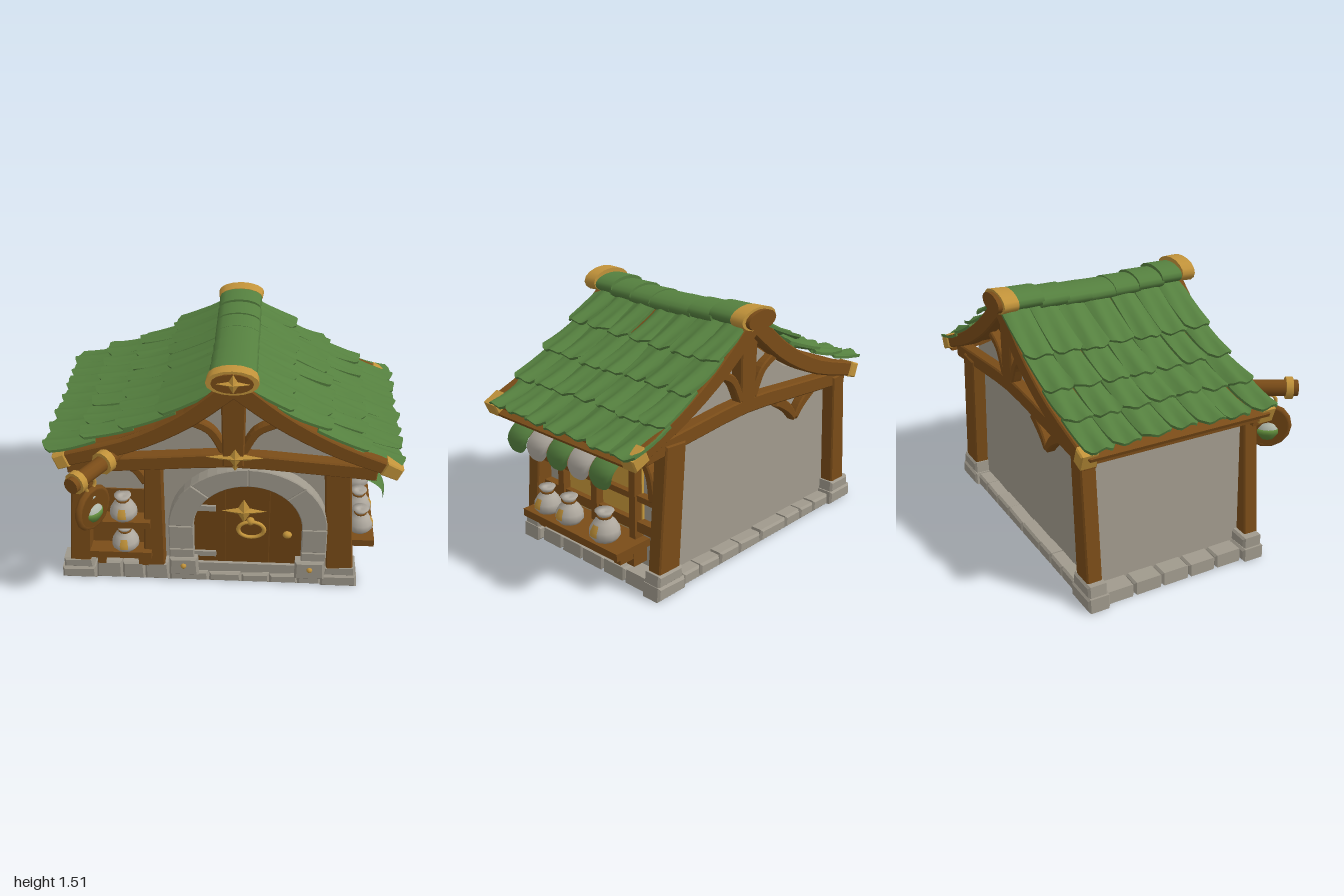
import * as THREE from 'three';

const M = {};
for (const [name, color] of Object.entries({
  wood: 0x7a4c18, doorWood: 0x6f4413, gold: 0xc2933a, leaf: 0x55803f, stone: 0x9f998c,
  plaster: 0xa39c8e, cloth: 0xb0aaa0, windowGlow: 0xc99a3a, potion: 0x5f8a3a, glass: 0xb4bcae,
})) M[name] = Object.assign(new THREE.MeshStandardMaterial({ color }), { name });
M.leaf.side = M.cloth.side = THREE.DoubleSide;

let seed = 7;
const rnd = () => (seed = (seed * 16807) % 2147483647) / 2147483647;
const V2 = (x, y) => new THREE.Vector2(x, y);
const V3 = (x, y, z = 0) => new THREE.Vector3(x, y, z);

function add(parent, name, geo, mat, x = 0, y = 0, z = 0) {
  const m = new THREE.Mesh(geo, mat);
  m.name = name;
  m.position.set(x, y, z);
  parent.add(m);
  return m;
}
const group = (parent, name) => {
  const g = new THREE.Group();
  g.name = name;
  parent.add(g);
  return g;
};
// Box given by its limits
const box = (p, name, mat, x0, x1, y0, y1, z0, z1) =>
  add(p, name, new THREE.BoxGeometry(x1 - x0, y1 - y0, z1 - z0), mat, (x0 + x1) / 2, (y0 + y1) / 2, (z0 + z1) / 2);
// Bevelled plate from an outline
function plate(p, name, mat, pts, z0, z1, bevel = 0.008) {
  const geo = new THREE.ExtrudeGeometry(new THREE.Shape(pts), {
    depth: z1 - z0 - 2 * bevel, bevelEnabled: bevel > 0, bevelSize: bevel, bevelOffset: -bevel, bevelThickness: bevel, bevelSegments: 1,
  });
  return add(p, name, geo, mat, 0, 0, z0 + bevel);
}
const stone = (p, x0, x1, y0, y1, z0, z1) =>
  plate(p, 'foundationStone', M.stone, [V2(x0, y0), V2(x1, y0), V2(x1 - 0.008 * rnd(), y1), V2(x0 + 0.008 * rnd(), y1 - 0.01 * rnd())], z0, z1, 0.012);
// Timber that follows a curve, with a width at each end
function timber(p, name, pts, w0, w1, z0, z1, mat = M.wood) {
  const curve = new THREE.CatmullRomCurve3(pts.map(([x, y]) => V3(x, y)));
  const n = pts.length > 2 ? 10 : 1, a = [], b = [];
  for (let i = 0; i <= n; i++) {
    const c = curve.getPoint(i / n), t = curve.getTangent(i / n), h = (w0 + (w1 - w0) * i / n) / 2;
    a.push(V2(c.x + t.y * h, c.y - t.x * h));
    b.unshift(V2(c.x - t.y * h, c.y + t.x * h));
  }
  return plate(p, name, mat, [...a, ...b], z0, z1);
}
// Raised four-pointed star
function star(p, x, y, z, w, h) {
  const rim = [...Array(8)].map((_, i) => {
    const a = i * Math.PI / 4, r = i % 2 ? 0.36 : 1;
    return [Math.cos(a) * w * r, Math.sin(a) * h * r, 0];
  });
  const pos = rim.flatMap((q, i) => [0, 0, 0.025, ...q, ...rim[(i + 1) % 8]]);
  const geo = new THREE.BufferGeometry().setAttribute('position', new THREE.Float32BufferAttribute(pos, 3));
  geo.computeVertexNormals();
  return add(p, 'goldStar', geo, M.gold, x, y, z);
}
// Tied cloth sack with a gold patch
function sack(p, x, y, z, s = 1, turn = 0) {
  const g = group(p, 'sack');
  const prof = [[0, 0], [0.06, 0], [0.08, 0.025], [0.078, 0.06], [0.055, 0.1], [0.032, 0.12], [0.034, 0.13], [0.05, 0.155], [0.02, 0.15], [0, 0.145]];
  add(g, 'sackBody', new THREE.LatheGeometry(prof.map(q => V2(...q)), 14), M.cloth);
  add(g, 'sackPatch', new THREE.LatheGeometry([[0.083, 0.035], [0.081, 0.06], [0.062, 0.092]].map(q => V2(...q)), 4, -0.3, 0.6), M.gold);
  add(g, 'sackTie', new THREE.TorusGeometry(0.033, 0.007, 5, 12).rotateX(Math.PI / 2), M.wood, 0, 0.123);
  g.position.set(x, y, z);
  g.rotation.y = turn;
  g.scale.setScalar(s);
}

function buildFoundation(p) {
  const cuts = [-0.79, -0.63, -0.49, -0.34, -0.1, 0.1, 0.27, 0.44, 0.58];
  for (let i = 0; i < cuts.length - 1; i++) {
    stone(p, cuts[i], cuts[i + 1], 0, i < 3 ? 0.13 : 0.07, 0.28, 0.41);
    stone(p, cuts[i], cuts[i + 1], 0, 0.075, -0.69, -0.58);
  }
  for (let i = 0; i < 5; i++) {
    const z = -0.59 + i * 0.175;
    stone(p, 0.63, 0.77, 0, 0.08, z, z + 0.173);
    stone(p, -0.97, -0.82, 0, 0.08, z, z + 0.173);
  }
  for (const [x0, x1] of [[-1, -0.79], [0.58, 0.8]])
    for (const [z0, z1] of [[0.28, 0.42], [-0.71, -0.58]]) {
      stone(p, x0, x1, 0, 0.085, z0, z1);
      stone(p, x0 + 0.015, x1 - 0.01, 0.075, 0.15, z0 + 0.008, z1 - 0.008);
    }
}

function buildFrame(p) {
  // Plaster body with gable
  plate(p, 'plasterBody', M.plaster, [[-0.87, 0.03], [0.65, 0.03], [0.65, 0.93], [0.45, 1.03], [0.05, 1.3], [-0.35, 1.03], [-0.84, 0.87]].map(q => V2(...q)), -0.61, 0.335, 0);
  for (const [z0, z1, dir] of [[0.32, 0.41, 1], [-0.69, -0.6, -1]]) {
    timber(p, 'cornerPost', [[-0.88, 0.13], [-0.82, 0.87]], 0.13, 0.11, z0, z1);
    timber(p, 'cornerPost', [[0.69, 0.13], [0.64, 0.87]], 0.16, 0.15, z0, z1);
    const f = dir > 0 ? 0.36 : -0.68, k = f + 0.08;
    timber(p, 'tieBeam', [[-0.9, 0.84], [-0.4, 0.88], [0.05, 0.91], [0.5, 0.88], [0.86, 0.85]], 0.09, 0.09, f, k);
    timber(p, 'kingPost', [[0.05, 0.88], [0.05, 1.4]], 0.12, 0.14, f, k + 0.01);
    for (const s of [-1, 1])
      timber(p, 'gableBrace', [[0.05 + s * 0.24, 1.15], [0.05 + s * 0.13, 1.09], [0.05 + s * 0.05, 0.95]], 0.05, 0.05, f, k - 0.02);
    // Rafters with gold tips
    const r0 = dir > 0 ? 0.37 : -0.72, r1 = r0 + 0.085;
    timber(p, 'rafter', [[0.04, 1.38], [-0.22, 1.17], [-0.52, 1.01], [-0.94, 0.885]], 0.11, 0.085, r0, r1);
    timber(p, 'rafter', [[0.06, 1.38], [0.32, 1.18], [0.62, 1.01], [0.96, 0.875]], 0.11, 0.075, r0, r1);
    timber(p, 'rafterTip', [[-0.89, 0.9], [-0.96, 0.875]], 0.095, 0.09, r0 - 0.008, r1 + 0.008, M.gold);
    timber(p, 'rafterTip', [[0.89, 0.905], [0.985, 0.862]], 0.09, 0.08, r0 - 0.008, r1 + 0.008, M.gold);
  }
  timber(p, 'middlePost', [[-0.43, 0.1], [-0.41, 0.87]], 0.13, 0.1, 0.32, 0.41);
  timber(p, 'frontBrace', [[-0.8, 0.7], [-0.73, 0.79], [-0.6, 0.84]], 0.05, 0.05, 0.33, 0.38);
  timber(p, 'frontBrace', [[-0.46, 0.7], [-0.52, 0.79], [-0.62, 0.84]], 0.05, 0.05, 0.33, 0.38);
  for (const s of [-1, 1])
    timber(p, 'backBracket', [[-0.42, 0.7], [-0.42 + s * 0.06, 0.77], [-0.42 + s * 0.17, 0.85]], 0.04, 0.07, -0.67, -0.61);
  box(p, 'wallPlate', M.wood, 0.6, 0.72, 0.83, 0.89, -0.68, 0.4);
  box(p, 'wallPlate', M.wood, -0.89, -0.78, 0.82, 0.88, -0.68, 0.4);
  box(p, 'eaveBeam', M.wood, 0.9, 0.94, 0.83, 0.875, -0.7, 0.42);
  box(p, 'eaveBeam', M.wood, -0.95, -0.9, 0.85, 0.9, -0.7, 0.42);
  star(p, 0.06, 0.94, 0.442, 0.165, 0.09);
}

function buildRoof(p) {
  const sides = [
    [[0.1, 1.4], [0.35, 1.235], [0.56, 1.105], [0.76, 0.99], [0.97, 0.88]],
    [[-0.01, 1.39], [-0.33, 1.195], [-0.56, 1.09], [-0.77, 1.01], [-0.98, 0.935]]];
  const cols = 7, step = 1.16 / cols;
  sides.forEach((line, s) => {
    timber(p, 'roofBoards', line.map(([x, y]) => [x, y - 0.045]), 0.02, 0.02, -0.69, 0.42);
    for (let r = 3; r >= 0; r--) for (let c = 0; c < cols; c++) {
      const a = V3(...line[r]), b = V3(...line[r + 1]);
      const up = a.clone().sub(b), span = up.length(), len = span + 0.07 + 0.025 * rnd();
      up.normalize();
      const n = s ? V3(-up.y, up.x) : V3(up.y, -up.x), w = step * (0.99 + 0.1 * rnd()), ph = rnd() * 6;
      const geo = new THREE.BoxGeometry(w, len, 0.016, 7, 4, 1), q = geo.attributes.position;
      for (let i = 0; i < q.count; i++) {
        const u = 2 * q.getX(i) / w, t = 0.5 - q.getY(i) / len;
        q.setY(i, q.getY(i) + 0.035 * t * t * u ** 4);
        q.setZ(i, q.getZ(i) + 0.035 * t * t - 0.018 * u * u + 0.009 * (0.3 + t) * Math.sin(u * 5 + ph + t * 2));
        q.setX(i, q.getX(i) * (0.92 + 0.1 * t));
      }
      geo.computeVertexNormals();
      const m = add(p, 'roofTile', geo, M.leaf);
      m.quaternion.setFromRotationMatrix(new THREE.Matrix4().makeBasis(up.clone().cross(n), up, n));
      m.position.copy(b).addScaledVector(up, len / 2 - 0.02 - 0.02 * rnd()).addScaledVector(n, 0.005 + 0.006 * rnd());
      m.position.z = 0.44 - step * (c + 0.5) + 0.012 * (rnd() - 0.5);
    }
  });
  // Sagging ridge with gold end caps
  const roll = (name, mat, r0, r1, flat, len, y, z) =>
    add(p, name, new THREE.CylinderGeometry(r0, r1, len, 16).rotateX(Math.PI / 2).scale(1, flat, 1), mat, 0.045, y, z);
  for (let i = 0; i < 7; i++) {
    const z = 0.36 - i * 0.155, y = 1.395 + 0.035 * ((z + 0.13) / 0.5) ** 2;
    roll('ridgeTile', M.leaf, 0.126 + 0.006 * rnd(), 0.132, 0.43, 0.17, y, z);
  }
  roll('ridgeCap', M.gold, 0.145, 0.14, 0.5, 0.08, 1.44, 0.45);
  roll('ridgeEnd', M.wood, 0.115, 0.115, 0.5, 0.02, 1.44, 0.488);
  roll('ridgeCap', M.gold, 0.135, 0.142, 0.45, 0.09, 1.42, -0.685);
  roll('ridgeEnd', M.wood, 0.115, 0.115, 0.48, 0.03, 1.415, -0.74);
  star(p, 0.05, 1.44, 0.497, 0.1, 0.06);
}

function buildDoor(p) {
  const cx = 0.135, base = 0.42;
  // Point on the arch at t = 0..1, half width a, rise b
  const arch = (t, a, b) => {
    if (t < 0.25) return V2(cx - a, 0.08 + (base - 0.08) * t * 4);
    if (t > 0.75) return V2(cx + a, 0.08 + (base - 0.08) * (1 - t) * 4);
    const g = Math.PI * (1.5 - 2 * t);
    return V2(cx + a * Math.cos(g), base + b * Math.sin(g));
  };
  const run = (t0, t1, a, b, n) => [...Array(n + 1)].map((_, i) => arch(t0 + (t1 - t0) * i / n, a, b));
  plate(p, 'door', M.doorWood, [...run(0.0001, 0.9999, 0.34, 0.32, 40)].reverse(), 0.3, 0.37, 0);
  for (let i = 0; i < 8; i++)
    plate(p, 'archStone', M.stone, [...run(i / 8, (i + 1) / 8, 0.47, 0.42, 6), ...run((i + 1) / 8, i / 8, 0.32, 0.3, 6)], 0.3, 0.415, 0.006);
  for (const x of [-0.25, 0.51]) {
    stone(p, x - 0.09, x + 0.09, 0.06, 0.19, 0.31, 0.435);
    add(p, 'archStud', new THREE.SphereGeometry(0.018, 8, 6), M.gold, x, 0.135, 0.435);
  }
  box(p, 'doorStep', M.stone, -0.18, 0.43, 0.06, 0.13, 0.32, 0.39);
  for (const y of [0.535, 0.195]) box(p, 'hinge', M.stone, -0.19, -0.055, y - 0.018, y + 0.018, 0.36, 0.385);
  for (const x of [0.0, 0.26]) box(p, 'plankSeam', M.wood, x, x + 0.005, 0.13, 0.66, 0.367, 0.372);
  star(p, 0.11, 0.515, 0.37, 0.135, 0.085);
  add(p, 'doorRing', new THREE.TorusGeometry(0.07, 0.012, 8, 24).scale(1.1, 0.8, 1), M.gold, 0.155, 0.395, 0.39);
  add(p, 'ringMount', new THREE.SphereGeometry(0.025, 10, 8), M.gold, 0.15, 0.45, 0.38);
  add(p, 'doorKnob', new THREE.SphereGeometry(0.028, 10, 8).scale(1, 0.8, 0.8), M.gold, 0.37, 0.36, 0.385);
}

function buildFrontShelves(p) {
  box(p, 'shelfBacking', M.wood, -0.84, -0.46, 0.1, 0.63, 0.32, 0.342);
  for (const [y, x0] of [[0.19, -0.81], [0.415, -0.8]]) {
    box(p, 'frontShelf', M.wood, x0, -0.44, y, y + 0.045, 0.33, 0.445);
    sack(p, -0.6, y + 0.045, 0.385, 1.02);
  }
  for (const x of [-0.75, -0.5]) box(p, 'shelfBracket', M.wood, x - 0.025, x + 0.025, 0.11, 0.2, 0.34, 0.41);
}

// Shop window: local x runs backward along the wall, local z points out
function buildShopSide(p) {
  p.rotation.y = Math.PI / 2;
  box(p, 'windowPane', M.windowGlow, -0.15, 0.46, 0.27, 0.68, 0.64, 0.665);
  for (const u of [-0.155, 0.125, 0.43]) box(p, 'windowPost', M.wood, u - 0.023, u + 0.023, 0.25, 0.8, 0.65, 0.715);
  for (const [y, h] of [[0.33, 0.06], [0.5, 0.035], [0.79, 0.05]]) box(p, 'windowRail', M.wood, -0.33, 0.6, y - h / 2, y + h / 2, 0.64, 0.7);
  timber(p, 'sideBrace', [[-0.26, 0.52], [-0.26, 0.66], [-0.2, 0.8]], 0.05, 0.05, 0.65, 0.7);
  timber(p, 'sideBrace', [[0.58, 0.52], [0.55, 0.68], [0.46, 0.8]], 0.05, 0.05, 0.65, 0.72);
  box(p, 'counter', M.wood, -0.28, 0.5, 0.21, 0.255, 0.65, 0.9);
  for (const u of [-0.18, 0.45]) {
    box(p, 'counterBracket', M.wood, u - 0.028, u + 0.028, 0.11, 0.21, 0.65, 0.75);
    box(p, 'counterBracket', M.wood, u - 0.025, u + 0.025, 0.16, 0.21, 0.74, 0.85);
  }
  for (const [u, s] of [[-0.16, 1], [0.03, 1.02], [0.32, 1.1]]) sack(p, u, 0.255, 0.815, s);
  // Scalloped awning
  const drop = new THREE.CatmullRomCurve3([V3(0, 0.83, 0.68), V3(0, 0.76, 0.85), V3(0, 0.7, 0.905), V3(0, 0.615, 0.905)]);
  for (let i = 0; i < 5; i++) {
    const geo = new THREE.PlaneGeometry(0.17, 1, 10, 8), q = geo.attributes.position;
    for (let k = 0; k < q.count; k++) {
      const x = q.getX(k), e = Math.abs(x / 0.085), t = (0.5 - q.getY(k)) * (1 - 0.22 * e ** 3), c = drop.getPoint(t);
      q.setXYZ(k, x, c.y - 0.01 * e * e, c.z + 0.012 * (1 - e * e));
    }
    geo.computeVertexNormals();
    add(p, 'awningPanel', geo, i % 2 ? M.cloth : M.leaf, -0.295 + i * 0.172);
  }
}

// Hanging sign: local x runs back along the pole, local z faces out
function buildSign(p) {
  p.position.set(-0.735, 0, 0.6);
  p.rotation.y = Math.PI / 3;
  const rod = (name, mat, r, x0, x1) =>
    add(p, name, new THREE.CylinderGeometry(r, r, x1 - x0, 12).rotateZ(Math.PI / 2), mat, (x0 + x1) / 2, 0.917, 0);
  rod('signPole', M.wood, 0.047, -0.155, 0.3);
  rod('poleBand', M.gold, 0.065, -0.125, -0.085);
  rod('poleBand', M.gold, 0.068, 0.105, 0.155);
  add(p, 'signRing', new THREE.TorusGeometry(0.038, 0.01, 6, 16), M.gold, 0, 0.835);
  add(p, 'signBoard', new THREE.CylinderGeometry(0.115, 0.115, 0.04, 14).rotateX(Math.PI / 2), M.doorWood, 0, 0.68);
  add(p, 'signRim', new THREE.TorusGeometry(0.116, 0.023, 6, 14), M.wood, 0, 0.68);
  const flask = [[0, 0], [0.04, 0.005], [0.066, 0.04], [0.064, 0.07], [0.045, 0.098], [0.022, 0.112], [0.02, 0.15], [0.032, 0.155], [0.03, 0.168], [0, 0.168]];
  add(p, 'flask', new THREE.LatheGeometry(flask.map(q => V2(...q)), 16).scale(1, 1, 0.7), M.glass, 0, 0.598);
  const fill = [[0, -0.003], [0.04, 0.002], [0.069, 0.04], [0.068, 0.068], [0, 0.068]];
  add(p, 'potion', new THREE.LatheGeometry(fill.map(q => V2(...q)), 16).scale(0.97, 1, 0.73), M.potion, 0, 0.598);
}

export function createModel() {
  const root = new THREE.Group();
  root.name = 'potionShop';
  const parts = { foundation: buildFoundation, frame: buildFrame, roof: buildRoof, doorway: buildDoor, frontShelves: buildFrontShelves, shopSide: buildShopSide, hangingSign: buildSign };
  for (const [name, build] of Object.entries(parts)) build(group(root, name));
  return root;
}
